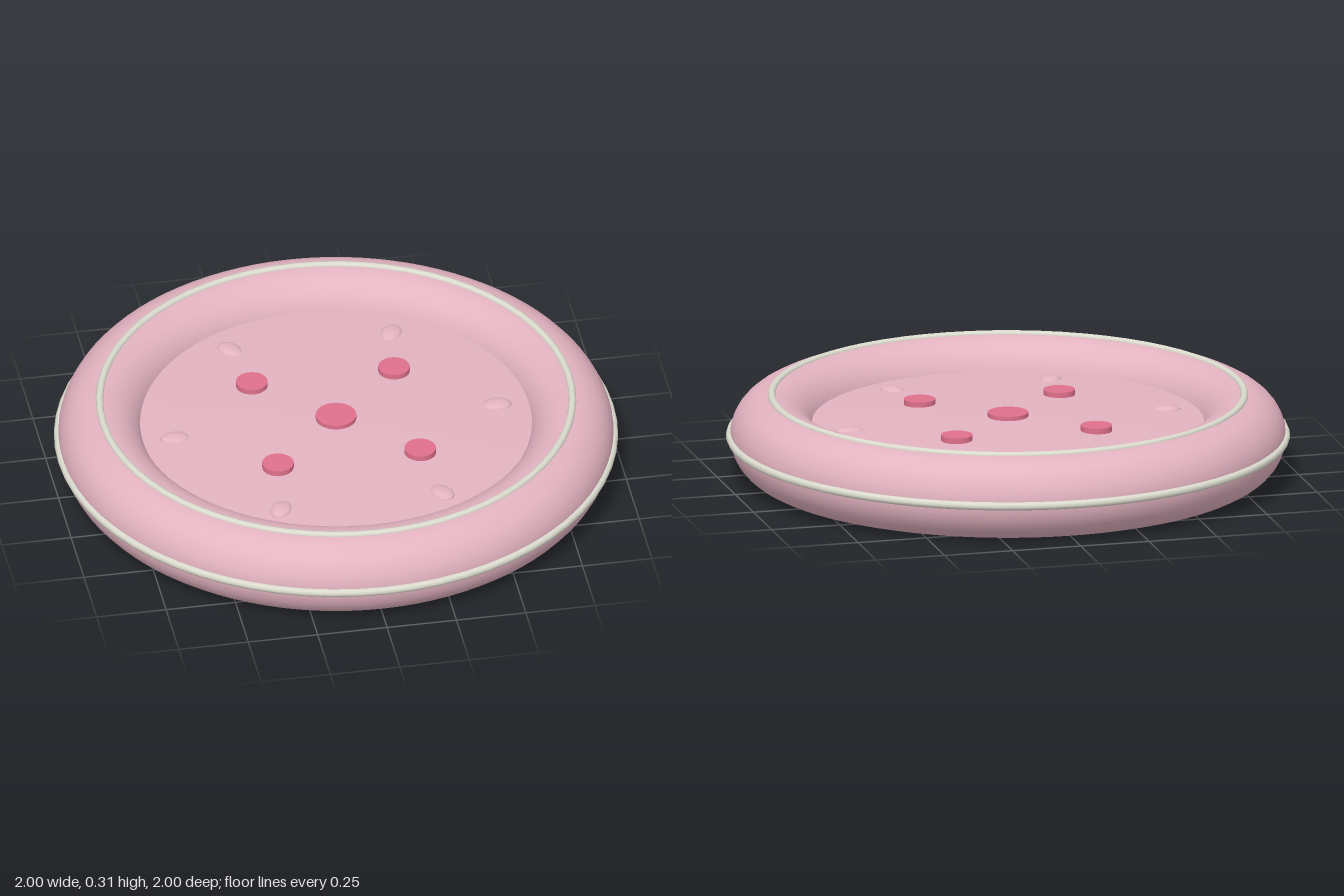
import * as THREE from 'three';

const pink = new THREE.MeshStandardMaterial({ color: 0xe3b3c1 });
pink.name = 'pink fabric';
const rose = new THREE.MeshStandardMaterial({ color: 0xe0718d });
rose.name = 'rose button';
const cream = new THREE.MeshStandardMaterial({ color: 0xdcdccf });
cream.name = 'cream piping';

export function createModel() {
  const group = new THREE.Group();
  const add = (name, geometry, material, x = 0, y = 0, z = 0) => {
    const mesh = new THREE.Mesh(geometry, material);
    mesh.name = name;
    mesh.position.set(x, y, z);
    group.add(mesh);
    return mesh;
  };
  const ring = (radius, tube, sides, segments) =>
    new THREE.TorusGeometry(radius, tube, sides, segments).rotateX(Math.PI / 2);

  // Padded outer ring
  add('cushionRing', ring(0.835, 0.15, 32, 96), pink, 0, 0.15, 0);

  // Gently domed seat inside the ring
  const dome = [[0.72, 0.199], [0.6, 0.206], [0.4, 0.215], [0.2, 0.219], [0, 0.22]]
    .map(([r, y]) => new THREE.Vector2(r, y));
  add('seatPad', new THREE.LatheGeometry(dome, 64), pink);

  // Flat underside closing the ring
  add('base', new THREE.CircleGeometry(0.84, 64).rotateX(Math.PI / 2), pink, 0, 0.001, 0);

  // Piping around the side and along the top of the ring
  add('sidePiping', ring(0.985, 0.015, 8, 64), cream, 0, 0.15, 0);
  add('topPiping', ring(0.838, 0.014, 8, 64), cream, 0, 0.297, 0);

  // Tufting buttons: a larger one in the middle, four around it
  const button = (name, r, x, z) =>
    add(name, new THREE.CylinderGeometry(r, r, 0.03, 32), rose, x, 0.22, z);
  button('centreButton', 0.072, 0, 0);
  for (const x of [-0.256, 0.256])
    for (const z of [-0.256, 0.256]) button('button', 0.056, x, z);

  // Six small oval tufts, pointing outwards
  for (let i = 0; i < 6; i++) {
    const a = (i * Math.PI) / 3;
    const tuft = add('tuft', new THREE.SphereGeometry(1, 20, 12), pink,
      0.58 * Math.cos(a), 0.204, 0.58 * Math.sin(a));
    tuft.scale.set(0.052, 0.016, 0.037);
    tuft.rotation.y = -a;
  }
  return group;
}
